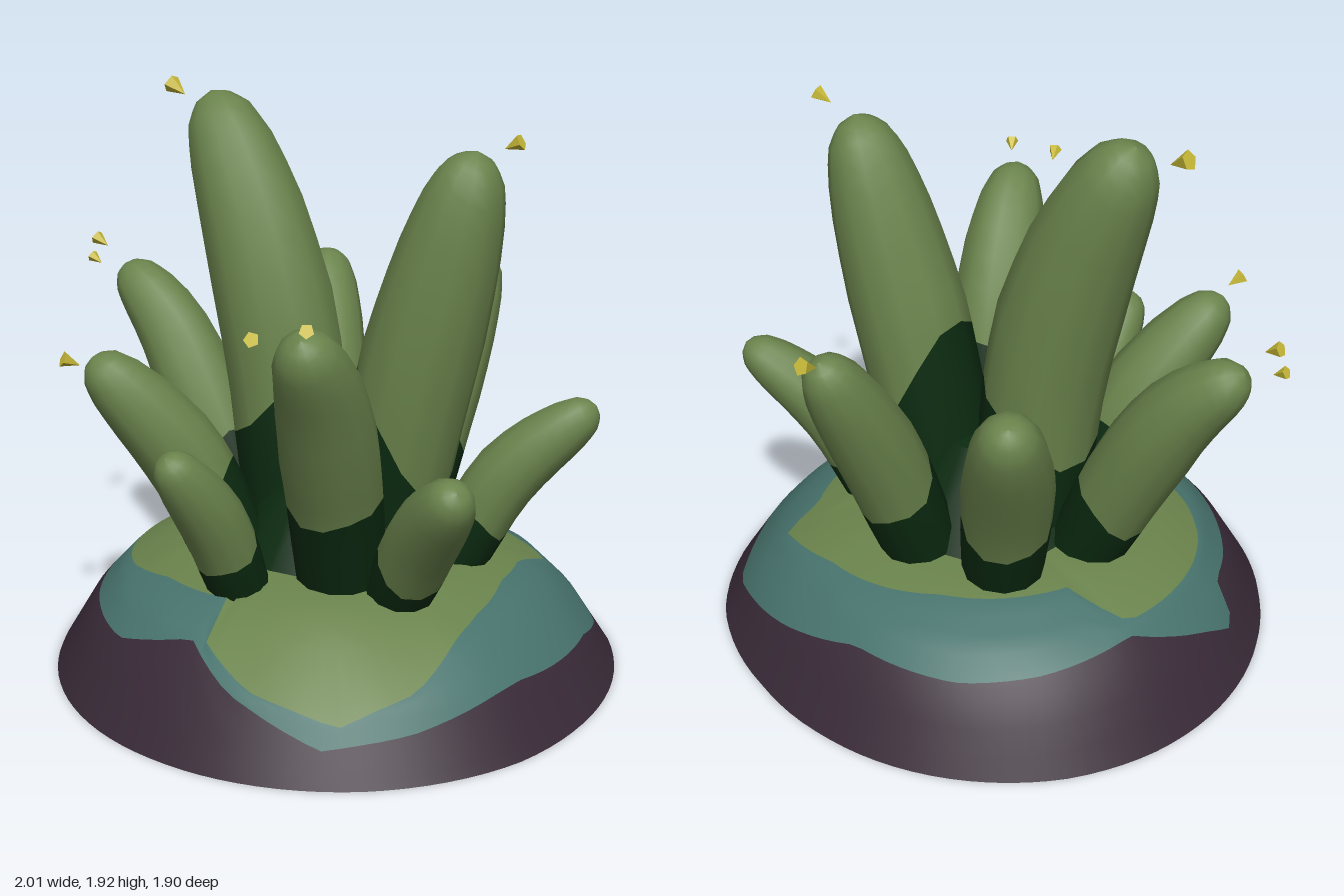
import * as THREE from 'three';

const paint = (name, color) => Object.assign(new THREE.MeshStandardMaterial({ color }), { name });

// Piecewise linear lookup in sorted [key, value] pairs
function lookup(pairs, k) {
  let i = 1;
  while (i < pairs.length - 1 && pairs[i][0] < k) i++;
  const [a, b] = [pairs[i - 1], pairs[i]];
  return a[1] + (b[1] - a[1]) * (k - a[0]) / (b[0] - a[0]);
}

// Closed rings joined row by row; each entry of bands is [rows, material index]
function skin(rows, cols, point, bands) {
  const pos = [], idx = [];
  for (let i = 0; i < rows; i++)
    for (let j = 0; j < cols; j++) pos.push(...point(i, j).toArray());
  for (let i = 0; i < rows - 1; i++)
    for (let j = 0; j < cols; j++) {
      const k = (j + 1) % cols, a = i * cols + j, b = i * cols + k;
      idx.push(a, b, a + cols, b, b + cols, a + cols);
    }
  const g = new THREE.BufferGeometry();
  g.setAttribute('position', new THREE.Float32BufferAttribute(pos, 3));
  g.setIndex(idx);
  let start = 0;
  for (const [n, m] of bands) {
    g.addGroup(start, n * cols * 6, m);
    start += n * cols * 6;
  }
  g.computeVertexNormals();
  return g;
}

// Turns [x, z] outline points into a radius as a function of angle
function outline(points) {
  const p = points.map(([x, z]) => [Math.atan2(z, x), Math.hypot(x, z)]).sort((a, b) => a[0] - b[0]);
  const first = p[0], last = p[p.length - 1];
  p.unshift([last[0] - 2 * Math.PI, last[1]]);
  p.push([first[0] + 2 * Math.PI, first[1]]);
  return angle => lookup(p, Math.atan2(Math.sin(angle), Math.cos(angle)));
}

const rim = outline([[0.07, 0.95], [-0.49, 0.79], [-0.74, 0.54], [-0.87, 0.3], [-0.88, -0.37],
  [-0.72, -0.64], [-0.4, -0.87], [0.03, -0.95], [0.35, -0.89], [0.74, -0.67], [0.93, -0.37],
  [1, -0.02], [0.97, 0.27], [0.69, 0.71]]);
const tealEdge = outline([[0.57, -0.69], [0.03, -0.77], [-0.34, -0.71], [-0.56, -0.53], [-0.69, -0.24],
  [-0.8, -0.02], [-0.83, 0.2], [-0.72, 0.25], [-0.66, 0.4], [-0.5, 0.59], [-0.26, 0.74], [0.04, 0.72],
  [0.25, 0.79], [0.56, 0.73], [0.75, 0.52], [0.87, 0.13], [0.83, -0.34], [0.73, -0.59]]);
const mossEdge = outline([[0.57, -0.5], [0.3, -0.57], [-0.13, -0.53], [-0.45, -0.26], [-0.66, -0.21],
  [-0.66, 0.19], [-0.6, 0.32], [-0.47, 0.45], [-0.24, 0.52], [0.04, 0.55], [0.08, 0.71], [0.3, 0.76],
  [0.58, 0.67], [0.71, 0.45], [0.7, 0.2], [0.68, 0.08], [0.62, -0.15], [0.56, -0.35]]);
const slope = [[0, 0.44], [0.55, 0.4], [0.75, 0.32], [0.87, 0.2], [1, 0]];

// Mound: flat underside, then purple, teal and moss bands
function moundGeometry() {
  const cols = 96, rows = 16;
  return skin(rows, cols, (i, j) => {
    const a = -j / cols * 2 * Math.PI, R = rim(a);
    const edges = [[2, R], [6, tealEdge(a)], [10, mossEdge(a)], [15, 0]];
    const r = i === 0 ? 0 : i < 3 ? R : lookup(edges, i);
    const y = i < 3 ? 0 : lookup(slope, r / R);
    return new THREE.Vector3(r * Math.cos(a), y, r * Math.sin(a));
  }, [[6, 0], [4, 1], [5, 2]]);
}

// Thickness along a stalk, ending in a blunt rounded tip
const girth = [[0, 0.9], [0.25, 0.98], [0.55, 1], [0.75, 0.88], [0.88, 0.72], [0.95, 0.54], [0.985, 0.3], [1, 0]];

// Stalk along a curve; the dark foot climbs higher on the inner side
function stalkGeometry(path, radius, foot, climb) {
  const curve = new THREE.CatmullRomCurve3(path.map(p => new THREE.Vector3(...p)));
  const ends = [curve.getPoint(0), curve.getPoint(1)];
  const out = ends[1].clone().sub(ends[0]).setY(0).normalize();
  const cols = 12, low = 4, high = 12;
  const tips = [0.12, 0.28, 0.44, 0.58, 0.7, 0.8, 0.87, 0.92, 0.955, 0.978, 0.992, 1];
  return skin(low + high + 1, cols, (i, j) => {
    const a = j / cols * 2 * Math.PI;
    const cut = foot - climb * Math.cos(a) + 0.015 * Math.sin(3 * a);
    const t = i <= low ? cut * i / low : cut + (1 - cut) * tips[i - low - 1];
    const T = curve.getTangentAt(t);
    const N = out.clone().addScaledVector(T, -out.dot(T)).normalize();
    const B = T.clone().cross(N);
    const r = radius * lookup(girth, t);
    return curve.getPointAt(t).addScaledVector(N, r * Math.cos(a)).addScaledVector(B, r * Math.sin(a));
  }, [[low, 0], [high, 1]]);
}

// Name, path, radius, dark share of the length, extra climb on the inner side
const stalks = [
  ['tallStalk', [[-0.1, 0.35, 0], [-0.18, 1.05, 0], [-0.31, 1.5, 0], [-0.49, 1.89, -0.01]], 0.205, 0.32, 0.08],
  ['secondStalk', [[0.16, 0.35, -0.08], [0.3, 1, -0.09], [0.4, 1.4, -0.11], [0.5, 1.78, -0.13]], 0.195, 0.36, 0.14],
  ['leftStalk', [[-0.33, 0.35, 0], [-0.52, 0.75, 0], [-0.7, 1.05, 0], [-0.89, 1.24, 0.02]], 0.145, 0.28, 0.05],
  ['backRightStalk', [[-0.2, 0.35, -0.28], [-0.32, 0.8, -0.41], [-0.49, 1.23, -0.64]], 0.15, 0.34, 0.05],
  ['backStalk', [[0.09, 0.35, -0.33], [0.12, 0.85, -0.52], [0.13, 1.29, -0.76]], 0.14, 0.34, 0.05],
  ['leftBackStalk', [[0.4, 0.35, -0.17], [0.57, 0.7, -0.25], [0.81, 0.95, -0.39]], 0.115, 0.3, 0.04],
  ['leftFrontStalk', [[0.42, 0.35, 0.17], [0.6, 0.65, 0.26], [0.8, 0.88, 0.39]], 0.12, 0.3, 0.05],
  ['frontLeftStalk', [[0.23, 0.35, 0.2], [0.29, 0.75, 0.32], [0.36, 1.1, 0.48], [0.43, 1.34, 0.66]], 0.16, 0.38, 0.04],
  ['frontStalk', [[0, 0.35, 0.43], [0, 0.65, 0.57], [-0.02, 0.91, 0.76]], 0.108, 0.3, 0.03],
  ['frontRightStalk', [[-0.16, 0.35, 0.26], [-0.28, 0.75, 0.39], [-0.47, 1.11, 0.61]], 0.14, 0.36, 0.04],
];

// Position and size of the loose flecks by the tips
const flecks = [
  [-0.64, 1.88, -0.01, 1.2], [0.62, 1.81, -0.14, 1], [-0.95, 1.32, 0.07, 0.95], [-0.98, 1.25, 0.07, 0.8],
  [-0.46, 1.12, 0.71, 1], [0.35, 1.35, 0.77, 0.9], [0.48, 1.38, 0.69, 0.85], [0.1, 1.32, -0.83, 1.1],
];

export function createModel() {
  const model = new THREE.Group();
  model.name = 'stalkCluster';
  const purple = paint('purple soil', 0x382a37);
  const teal = paint('teal lichen', 0x48736d);
  const green = paint('moss green', 0x6a834c);
  const dark = paint('dark green', 0x0b2a10);
  const yellow = paint('yellow', 0xc9bb38);
  const add = (name, geometry, material) => {
    const mesh = new THREE.Mesh(geometry, material);
    mesh.name = name;
    model.add(mesh);
    return mesh;
  };

  add('mound', moundGeometry(), [purple, teal, green]);
  for (const [name, path, radius, foot, climb] of stalks)
    add(name, stalkGeometry(path, radius, foot, climb), [dark, green]);

  // Dark core filling the gaps between the stalks
  add('core', new THREE.CylinderGeometry(0.17, 0.4, 0.36, 16), dark).position.set(0.04, 0.54, -0.02);

  // Flecks: tiny faceted cones pointing back at the cluster
  const cone = new THREE.ConeGeometry(0.027, 0.06, 5).toNonIndexed();
  cone.computeVertexNormals();
  for (const [x, y, z, s] of flecks) {
    const fleck = add('fleck', cone, yellow);
    fleck.position.set(x, y, z);
    fleck.scale.setScalar(s);
    const inward = new THREE.Vector3(-x, -0.5 * Math.hypot(x, z), -z).normalize();
    fleck.quaternion.setFromUnitVectors(new THREE.Vector3(0, 1, 0), inward);
  }
  return model;
}
